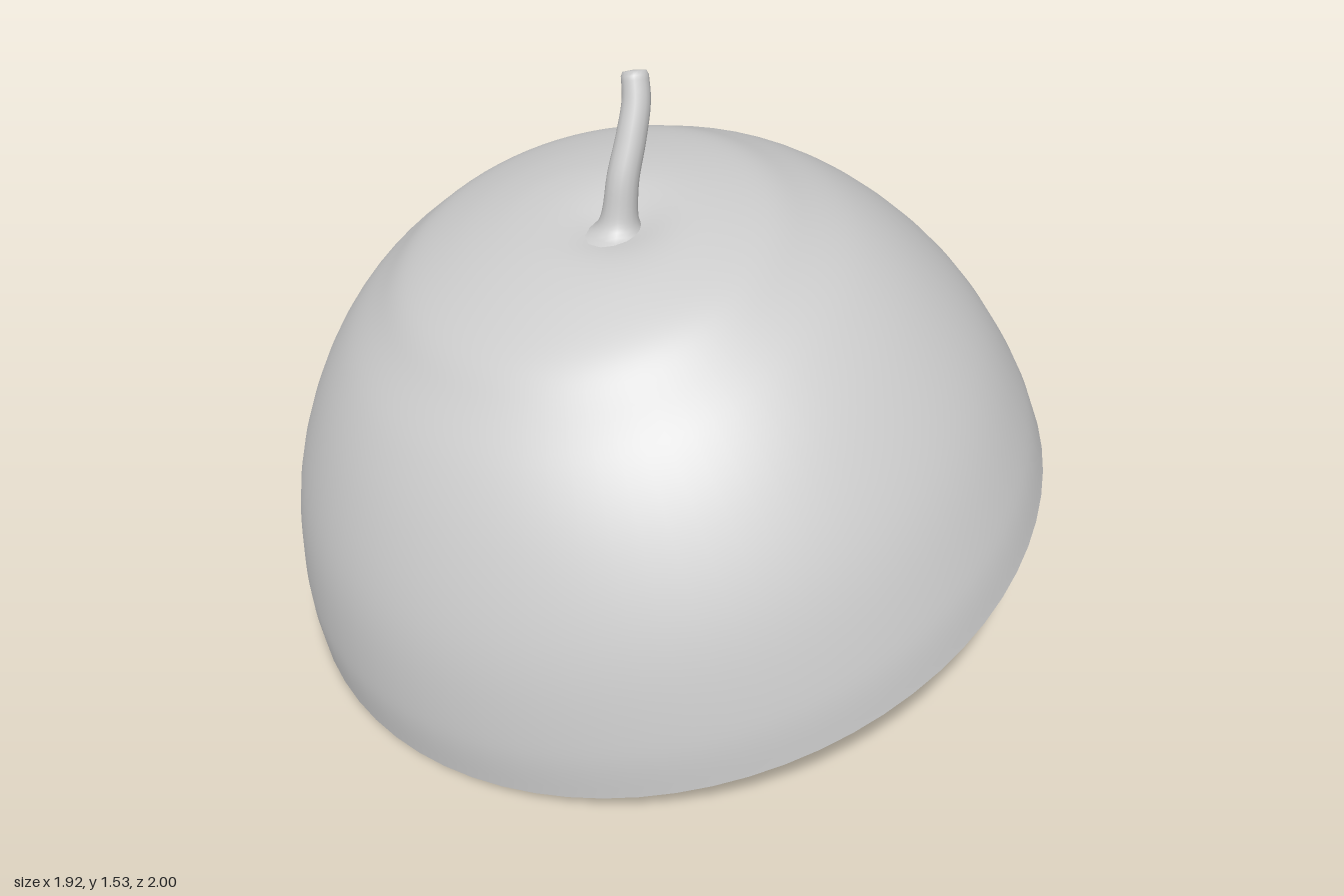
import * as THREE from 'three';
import { mergeVertices } from 'three/addons/utils/BufferGeometryUtils.js';

const V2 = (x, y) => new THREE.Vector2(x, y);
const V3 = (x, y, z) => new THREE.Vector3(x, y, z);

// Weld the seam and recompute smooth normals
function smooth(geometry) {
  geometry.deleteAttribute('uv');
  geometry.deleteAttribute('normal');
  const welded = mergeVertices(geometry, 1e-5);
  welded.computeVertexNormals();
  return welded;
}

// Open half shell, tilted, with a small dimple where the stem grows
function domeGeometry(stemX, stemZ) {
  const profile = new THREE.SplineCurve([
    V2(1.0, 0), V2(0.982, 0.133), V2(0.93, 0.312), V2(0.862, 0.458),
    V2(0.766, 0.603), V2(0.662, 0.718), V2(0.55, 0.805), V2(0.455, 0.868),
    V2(0.325, 0.915), V2(0.2, 0.943), V2(0.1, 0.953), V2(0, 0.955),
  ]);
  const g = new THREE.LatheGeometry(profile.getPoints(66), 72);
  const up = V3(0, 1, 0);
  const axis = V3(-0.257, 0.964, -0.058).normalize();
  g.scale(0.985, 1, 1);
  g.translate(0.01, 0, 0);
  g.applyQuaternion(new THREE.Quaternion().setFromUnitVectors(up, axis));
  g.translate(0, 0.257, 0);
  const p = g.attributes.position;
  for (let i = 0; i < p.count; i++) {
    const d = Math.hypot(p.getX(i) - stemX, p.getZ(i) - stemZ);
    p.setY(i, p.getY(i) - 0.035 * Math.exp(-(d * d) / (2 * 0.075 ** 2)));
  }
  return smooth(g);
}

// Curved stem: a tube whose rings flare at the base and close at the tip
function stemGeometry(path) {
  const rings = 40, sides = 16;
  const g = new THREE.TubeGeometry(path, rings, 1, sides);
  const p = g.attributes.position;
  const v = V3(0, 0, 0);
  for (let i = 0; i <= rings; i++) {
    const t = i / rings;
    const centre = path.getPointAt(t);
    let r = 0.042 - 0.01 * t + 0.05 * Math.exp(-t * 20);
    if (i === rings - 1) r = 0.028;
    if (i === rings) r = 0;
    if (i === rings) centre.copy(path.getPointAt((rings - 0.7) / rings));
    for (let j = 0; j <= sides; j++) {
      const k = i * (sides + 1) + j;
      v.fromBufferAttribute(p, k).sub(path.getPointAt(t)).multiplyScalar(r).add(centre);
      p.setXYZ(k, v.x, v.y, v.z);
    }
  }
  return smooth(g);
}

export function createModel() {
  const group = new THREE.Group();
  group.name = 'halfFruit';

  const shell = new THREE.Mesh(
    domeGeometry(-0.19, 0.06),
    new THREE.MeshStandardMaterial({ color: 0xcccccc, side: THREE.DoubleSide })
  );
  shell.name = 'shell';

  const stemPath = new THREE.CatmullRomCurve3([
    V3(-0.195, 1.145, 0.062), V3(-0.187, 1.22, 0.06), V3(-0.175, 1.29, 0.056),
    V3(-0.142, 1.38, 0.046), V3(-0.113, 1.46, 0.03), V3(-0.098, 1.53, 0.004),
  ]);
  const stem = new THREE.Mesh(
    stemGeometry(stemPath),
    new THREE.MeshStandardMaterial({ color: 0xcccccc })
  );
  stem.name = 'stem';

  group.add(shell, stem);
  return group;
}
